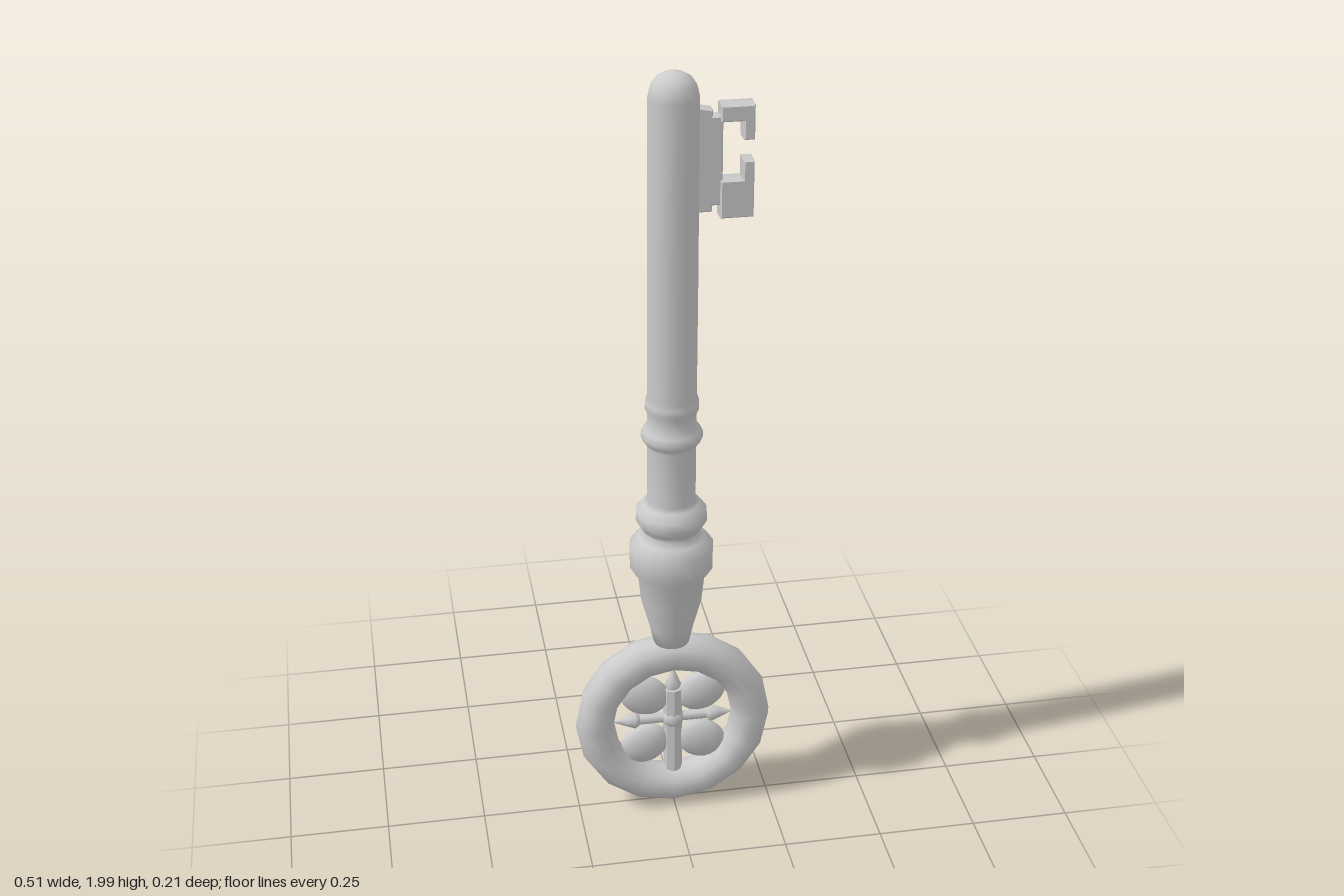
import * as THREE from 'three';
import { toCreasedNormals } from 'three/addons/utils/BufferGeometryUtils.js';

const RING_Y = 0.26;

export function createModel() {
  const key = new THREE.Group();
  key.name = 'key';
  const material = new THREE.MeshStandardMaterial({ color: 0xcccccc });

  const add = (name, geometry, x = 0, y = 0, z = 0, parent = key) => {
    const mesh = new THREE.Mesh(geometry, material);
    mesh.name = name;
    mesh.position.set(x, y, z);
    parent.add(mesh);
    return mesh;
  };

  // Turned shaft: collar, mouldings and rounded tip, leaning slightly forward towards the tip
  const profile = [
    [0, 0.48], [0.045, 0.5], [0.056, 0.55], [0.077, 0.63], [0.084, 0.7], [0.104, 0.725],
    [0.105, 0.785], [0.082, 0.81], [0.068, 0.825], [0.078, 0.84], [0.089, 0.86], [0.087, 0.885],
    [0.07, 0.905], [0.06, 0.915], [0.06, 1.065], [0.07, 1.08], [0.076, 1.095], [0.07, 1.11],
    [0.06, 1.125], [0.06, 1.155], [0.066, 1.17], [0.065, 1.185], [0.06, 1.2], [0.06, 1.5],
    [0.059, 1.94], [0.053, 1.966], [0.041, 1.985], [0.022, 1.996], [0, 2],
  ];
  const shaft = new THREE.LatheGeometry(profile.map(([r, y]) => new THREE.Vector2(r, y)), 16);
  const pos = shaft.attributes.position;
  for (let i = 0; i < pos.count; i++) {
    const t = Math.max(0, (pos.getY(i) - 0.85) / 1.0);
    pos.setZ(i, pos.getZ(i) + 0.032 * Math.min(1, t));
  }
  add('shaft', shaft, -0.004);

  // Bit: a thinner web next to the shaft, carrying two hooked teeth
  const plate = (name, points, depth) => {
    const shape = new THREE.Shape(points.map(([x, y]) => new THREE.Vector2(x, y)));
    const geometry = new THREE.ExtrudeGeometry(shape, {
      depth: depth - 0.008, bevelEnabled: true, bevelThickness: 0.004,
      bevelSize: 0.003, bevelOffset: -0.003, bevelSegments: 1,
    });
    geometry.translate(0, 0, -depth / 2 + 0.004);
    add(name, toCreasedNormals(geometry, 0.9), 0, 0, 0.029);
  };
  plate('bitWeb', [
    [0.03, 1.67], [0.082, 1.67], [0.082, 1.685], [0.106, 1.685],
    [0.106, 1.895], [0.082, 1.895], [0.082, 1.91], [0.03, 1.92],
  ], 0.034);
  plate('upperTooth', [
    [0.1, 1.92], [0.177, 1.92], [0.177, 1.838], [0.152, 1.838], [0.152, 1.882], [0.1, 1.882],
  ], 0.049);
  plate('lowerTooth', [
    [0.1, 1.655], [0.177, 1.655], [0.177, 1.79], [0.152, 1.79], [0.152, 1.745], [0.1, 1.745],
  ], 0.049);

  // Bow: ring with an ornament in its opening
  const bow = new THREE.Group();
  bow.name = 'bow';
  bow.position.set(0, RING_Y, -0.003);
  key.add(bow);
  add('ring', new THREE.TorusGeometry(0.204, 0.05, 12, 16), 0, 0, 0, bow);

  // Upright post and thinner crossbar
  add('post', toCreasedNormals(new THREE.CylinderGeometry(0.025, 0.025, 0.25, 8), 0.5), 0, -0.033, 0, bow);
  const crossbar = add('crossbar', new THREE.CylinderGeometry(0.013, 0.013, 0.2, 8), 0, 0, 0, bow);
  crossbar.rotation.z = Math.PI / 2;
  add('centreBoss', new THREE.SphereGeometry(0.03, 10, 8), 0, 0, 0, bow);

  // Pointed finials at the top and both sides
  const finial = new THREE.LatheGeometry(
    [[0, 0.085], [0.014, 0.088], [0.022, 0.1], [0.014, 0.122], [0, 0.157]].map(([r, y]) => new THREE.Vector2(r, y)), 8);
  for (const angle of [-Math.PI / 2, 0, Math.PI / 2]) {
    add('finial', finial, 0, 0, 0, bow).rotation.z = angle;
  }

  // Four leaf-shaped lobes between the arms
  const lobe = new THREE.SphereGeometry(1, 14, 10);
  for (const sx of [-1, 1]) {
    for (const sy of [-1, 1]) {
      const leaf = add('leaf', lobe, sx * 0.074, sy * 0.075, 0, bow);
      leaf.scale.set(0.067, 0.055, 0.028);
      leaf.rotation.z = sx * sy * 0.45;
    }
  }
  return key;
}
